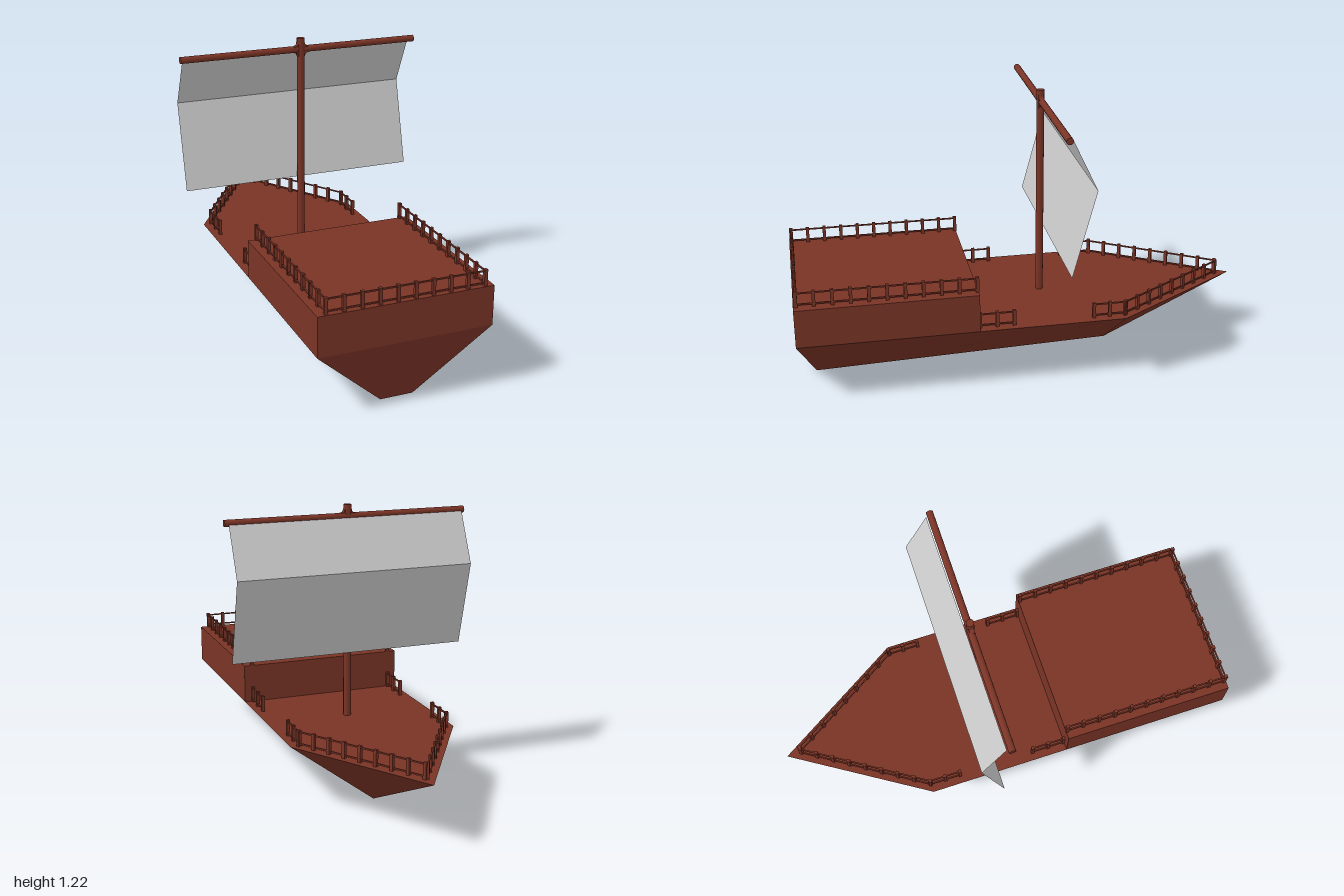
import * as THREE from 'three';

const wood = new THREE.MeshStandardMaterial({ color: 0x7a3426, flatShading: true });
const roundWood = new THREE.MeshStandardMaterial({ color: 0x7a3426 });
const cloth = new THREE.MeshStandardMaterial({ color: 0xcccccc, flatShading: true, side: THREE.DoubleSide });

const DECK = 0.28, ROOF = 0.45, HALF = 0.37, MAST_Z = -0.1, YARD_Y = 1.165;

function add(parent, name, geometry, material, x = 0, y = 0, z = 0) {
  const mesh = new THREE.Mesh(geometry, material);
  mesh.name = name;
  mesh.position.set(x, y, z);
  parent.add(mesh);
  return mesh;
}

// Flat-faced solid from named corners; each face is a fan of corners
function facetGeometry(corners, faces) {
  const pos = [];
  for (const f of faces) {
    for (let i = 1; i < f.length - 1; i++) {
      for (const k of [f[0], f[i], f[i + 1]]) pos.push(...corners[k]);
    }
  }
  const g = new THREE.BufferGeometry();
  g.setAttribute('position', new THREE.Float32BufferAttribute(pos, 3));
  g.computeVertexNormals();
  return g;
}

// Hull: flat deck, keel strip narrowing to a point, pointed raked bow
function hullGeometry() {
  const corners = {
    sternL: [HALF, DECK, 1], sternR: [-HALF, DECK, 1],
    bowL: [HALF, DECK, -0.41], bowR: [-HALF, DECK, -0.41],
    tip: [0, DECK, -1],
    keelL: [0.07, 0, 0.92], keelR: [-0.07, 0, 0.92], keelEnd: [0, 0, -0.41],
  };
  return facetGeometry(corners, [
    ['keelL', 'keelEnd', 'bowL', 'sternL'],
    ['keelEnd', 'keelR', 'sternR', 'bowR'],
    ['keelEnd', 'tip', 'bowL'],
    ['tip', 'keelEnd', 'bowR'],
    ['sternR', 'keelR', 'keelL', 'sternL'],
    ['keelR', 'keelEnd', 'keelL'],
    ['sternL', 'bowL', 'tip', 'bowR', 'sternR'],
  ]);
}

// Straight railing from (x0,z0) to (x1,z1): evenly spaced posts and two thin rails
function railing(parent, name, floor, [x0, z0], [x1, z1], gaps) {
  const g = new THREE.Group();
  g.name = name;
  const length = Math.hypot(x1 - x0, z1 - z0);
  const angle = Math.atan2(x1 - x0, z1 - z0);
  for (let i = 0; i <= gaps; i++) {
    const t = i / gaps;
    const post = add(g, 'post', new THREE.BoxGeometry(0.014, 0.07, 0.014), wood,
      x0 + (x1 - x0) * t, floor + 0.035, z0 + (z1 - z0) * t);
    post.rotation.y = angle;
  }
  for (const h of [0.012, 0.062]) {
    const rail = add(g, 'rail', new THREE.BoxGeometry(0.006, 0.006, length), wood,
      (x0 + x1) / 2, floor + h, (z0 + z1) / 2);
    rail.rotation.y = angle;
  }
  parent.add(g);
}

// Sail: sheet creased across the middle, bulging towards the bow
function sailGeometry() {
  const g = new THREE.PlaneGeometry(1.054, 1, 1, 2);
  const rows = [[1.16, -0.122], [0.945, -0.225], [0.57, -0.125]];
  const p = g.attributes.position;
  for (let i = 0; i < p.count; i++) {
    const [y, z] = rows[Math.floor(i / 2)];
    p.setY(i, y);
    p.setZ(i, z);
  }
  g.computeVertexNormals();
  return g;
}

// Small curved corner filling the joint between mast and yard
function filletGeometry() {
  const r = 0.016, d = 0.022;
  const s = new THREE.Shape();
  s.moveTo(0, 0);
  s.lineTo(r, 0);
  s.quadraticCurveTo(0, 0, 0, r);
  s.lineTo(-0.006, r);
  s.lineTo(-0.006, -0.006);
  s.lineTo(r, -0.006);
  const g = new THREE.ExtrudeGeometry(s, { depth: d, bevelEnabled: false, curveSegments: 5 });
  g.translate(0, 0, -d / 2);
  return g;
}

export function createModel() {
  const ship = new THREE.Group();
  ship.name = 'sailingShip';

  add(ship, 'hull', hullGeometry(), wood);
  add(ship, 'sternDeckhouse', new THREE.BoxGeometry(HALF * 2, ROOF - DECK, 0.77), wood,
    0, (DECK + ROOF) / 2, 0.615);

  // Mast, yard and joint
  add(ship, 'mast', new THREE.CylinderGeometry(0.017, 0.017, 1.215 - DECK, 12), roundWood,
    0, (1.215 + DECK) / 2, MAST_Z);
  const yard = add(ship, 'yard', new THREE.CylinderGeometry(0.015, 0.015, 1.085, 12), roundWood,
    0, YARD_Y, MAST_Z - 0.003);
  yard.rotation.z = Math.PI / 2;
  for (let i = 0; i < 4; i++) {
    const sx = i === 0 || i === 3 ? 1 : -1, sy = i < 2 ? 1 : -1;
    const fillet = add(ship, 'mastFillet', filletGeometry(), wood,
      sx * 0.016, YARD_Y + sy * 0.014, MAST_Z);
    fillet.rotation.z = i * Math.PI / 2;
  }
  add(ship, 'sail', sailGeometry(), cloth);

  // Railings, mirrored on both sides
  for (const s of [1, -1]) {
    const x = s * 0.333;
    railing(ship, 'deckhouseSideRailing', ROOF, [x, 0.99], [x, 0.235], 10);
    railing(ship, 'midRailing', DECK, [x, 0.225], [x, 0.077], 2);
    railing(ship, 'foreSideRailing', DECK, [x, -0.273], [x, -0.413], 2);
    railing(ship, 'bowRailing', DECK, [x, -0.413], [s * 0.005, -0.932], 8);
  }
  railing(ship, 'sternRailing', ROOF, [-0.333, 0.988], [0.333, 0.988], 9);

  return ship;
}
